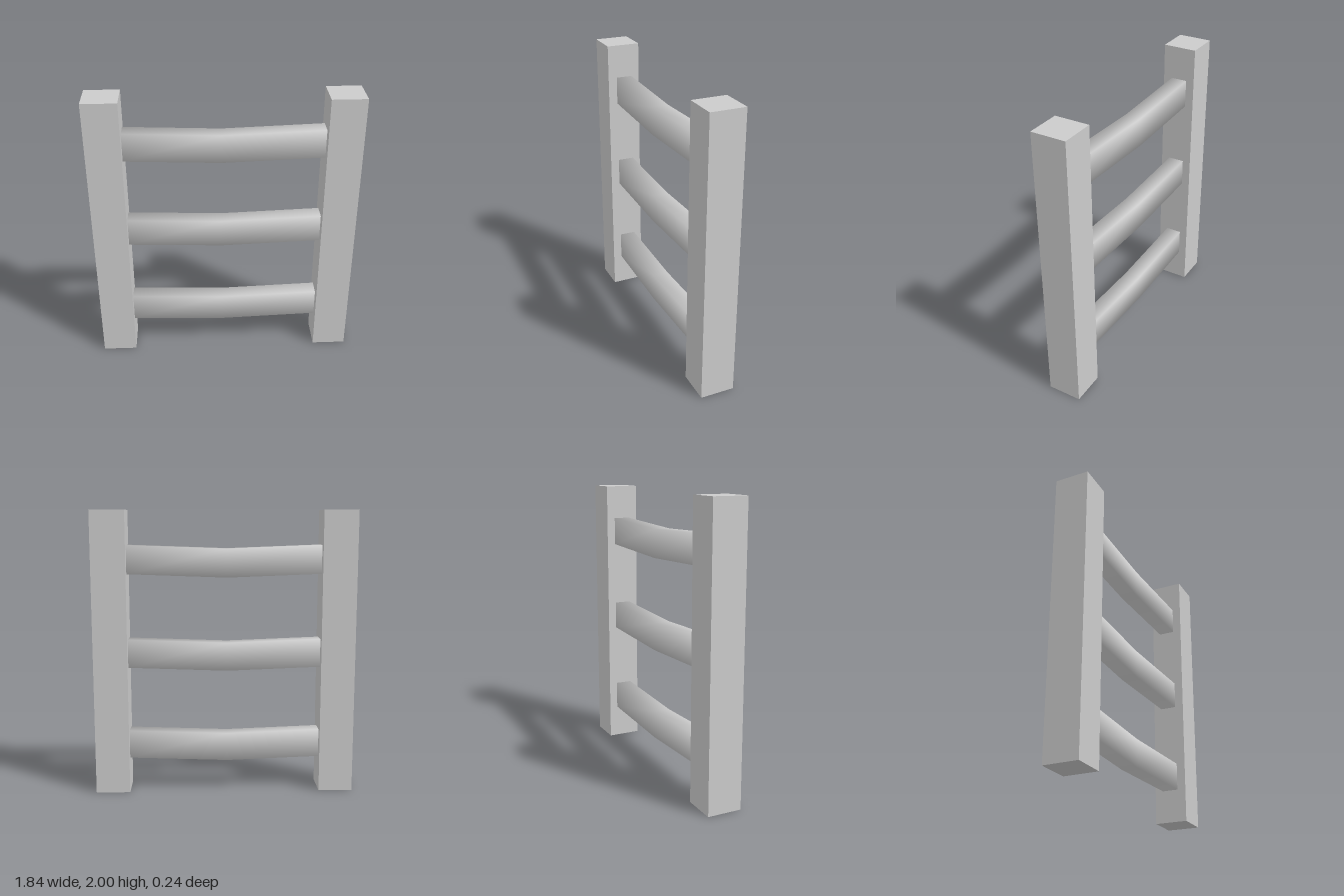
import * as THREE from 'three';

const material = new THREE.MeshStandardMaterial({ color: 0xcccccc });

// Rung: a bar with one bend, sagging slightly near its middle, softly shaded
function rungGeometry() {
  const geometry = new THREE.BoxGeometry(1.36, 0.2, 0.116, 2, 1, 1);
  const p = geometry.attributes.position;
  const n = geometry.attributes.normal;
  const normal = new THREE.Vector3();
  for (let i = 0; i < p.count; i++) {
    const side = Math.abs(p.getX(i)) < 0.01 ? 0 : Math.sign(p.getX(i));
    normal.set(side, Math.sign(p.getY(i)), Math.sign(p.getZ(i))).normalize();
    n.setXYZ(i, normal.x, normal.y, normal.z);
    if (side === 0) {
      p.setX(i, -0.02);
      p.setY(i, p.getY(i) - 0.025);
    }
  }
  return geometry;
}

export function createModel() {
  const group = new THREE.Group();
  group.name = 'ladder';

  // Square side posts
  const postGeometry = new THREE.BoxGeometry(0.24, 2, 0.24);
  for (const [name, side] of [['leftPost', 1], ['rightPost', -1]]) {
    const post = new THREE.Mesh(postGeometry, material);
    post.name = name;
    post.position.set(side * 0.8, 1, 0);
    group.add(post);
  }

  // Three evenly spaced rungs
  const geometry = rungGeometry();
  ['lowerRung', 'middleRung', 'upperRung'].forEach((name, i) => {
    const rung = new THREE.Mesh(geometry, material);
    rung.name = name;
    rung.position.set(0, 0.34 + i * 0.66, -0.002);
    group.add(rung);
  });
  return group;
}
